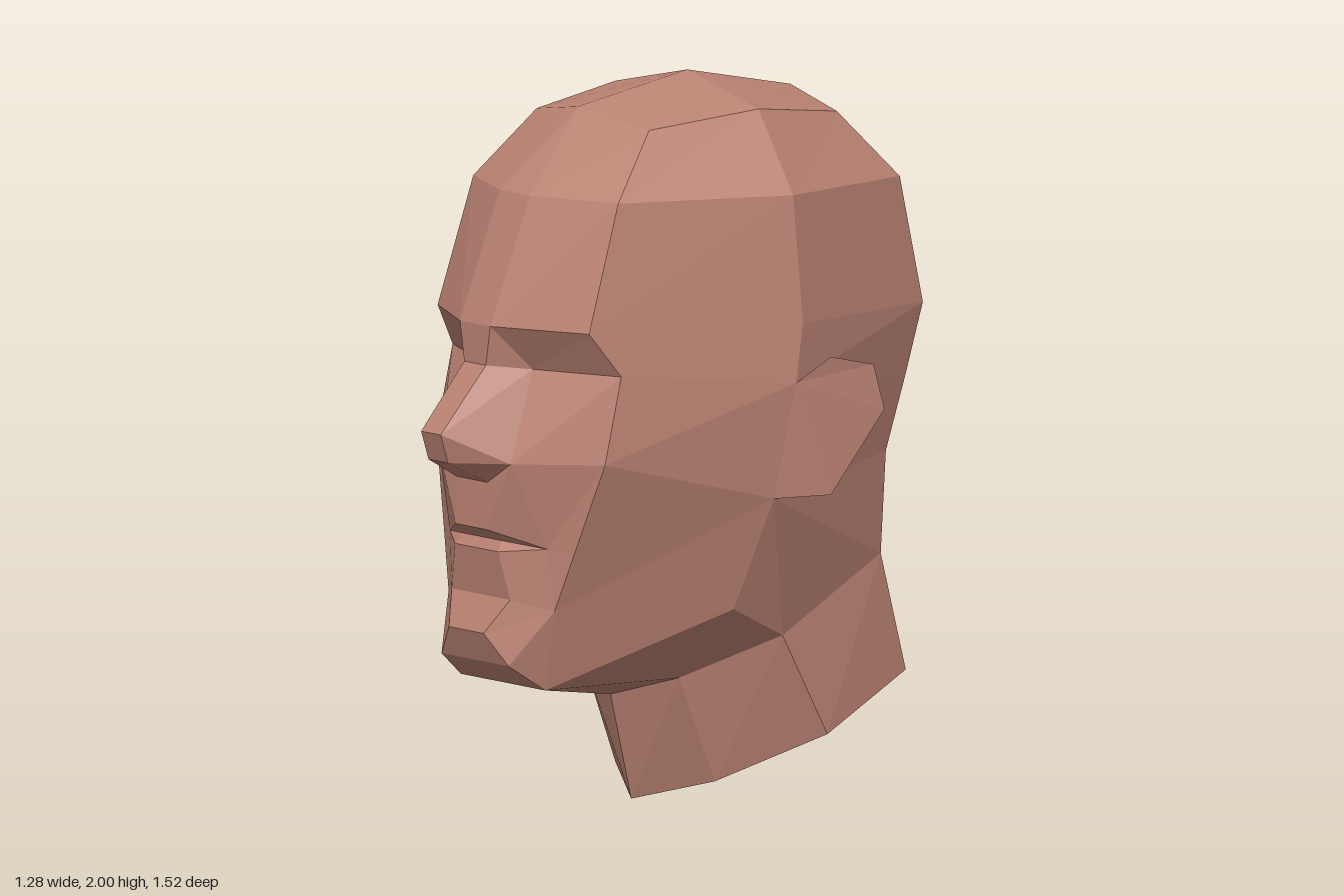
import * as THREE from 'three';

const skin = new THREE.MeshStandardMaterial({ color: 0xba8272, flatShading: true });
skin.name = 'skin';

// Skins a grid of points (rows run down, columns run from the centre line round to
// the model's left) and mirrors it in x. flip swaps the diagonal of each quad.
function loft(name, rows, flip = false) {
  const out = [];
  const tri = (...p) => {
    const [a, b, c] = p.map(q => new THREE.Vector3(...q));
    const area = b.clone().sub(a).cross(c.clone().sub(a)).length();
    if (area < 1e-6) return;
    out.push(...p.flat());
    for (const q of [p[0], p[2], p[1]]) out.push(-q[0], q[1], q[2]);
  };
  for (let r = 0; r < rows.length - 1; r++) {
    for (let c = 0; c < rows[r].length - 1; c++) {
      const a = rows[r][c], b = rows[r][c + 1];
      const d = rows[r + 1][c], e = rows[r + 1][c + 1];
      if (flip) { tri(a, d, e); tri(a, e, b); }
      else { tri(a, d, b); tri(b, d, e); }
    }
  }
  const geo = new THREE.BufferGeometry();
  geo.setAttribute('position', new THREE.Float32BufferAttribute(out, 3));
  geo.computeVertexNormals();
  const mesh = new THREE.Mesh(geo, skin);
  mesh.name = name;
  return mesh;
}

// The same point on the centre line
const mid = p => [0, p[1], p[2]];

export function createModel() {
  const head = new THREE.Group();
  head.name = 'head';

  // Landmarks shared between parts
  const browIn = [0.07, 1.36, 0.61], browOut = [0.35, 1.36, 0.48];
  const eyeIn = [0.13, 1.24, 0.51], eyeOut = [0.39, 1.24, 0.40];
  const wing = [0.165, 0.99, 0.61], cheek = [0.39, 1.0, 0.455];
  const noseBase = [0.07, 0.93, 0.62];
  const jawFront = [0.245, 0.585, 0.52], jawAngle = [0.42, 0.57, 0.04];
  const chinUnder = [0.195, 0.36, 0.515];
  const earTop = [0.545, 1.2, -0.08], earLow = [0.51, 0.88, -0.03];
  const side = [0.535, 1.36, -0.11];
  const back = [0.395, 1.36, -0.62], backMid = [0, 1.36, -0.76];
  const nape = [0.367, 0.955, -0.515], napeMid = [0, 0.96, -0.64];
  const neckBack = [0.35, 0.67, -0.51], neckBackMid = [0, 0.69, -0.63];
  const neckSide = [0.40, 0.48, -0.14], neckFront = [0.22, 0.36, 0.08];
  const throat = [0, 0.295, 0.15];

  // Cranium: crown, upper ring, temple ring, brow ring
  head.add(loft('cranium', [
    Array(6).fill([0, 2, -0.11]),
    [[0, 1.93, 0.26], [0, 1.93, 0.26], [0.26, 1.89, 0.21], [0.33, 1.93, -0.11], [0.27, 1.89, -0.42], [0, 1.93, -0.46]],
    [[0, 1.71, 0.475], [0.07, 1.71, 0.475], [0.335, 1.71, 0.37], [0.49, 1.71, -0.11], [0.37, 1.71, -0.56], [0, 1.71, -0.69]],
    [mid(browIn), browIn, browOut, side, back, backMid],
  ]));

  // Sides and back of the skull below the brow
  head.add(loft('skullSides', [
    [browOut, side, back, backMid],
    [eyeOut, earTop, [0.382, 1.16, -0.57], [0, 1.16, -0.70]],
    [cheek, earLow, nape, napeMid],
  ]));
  head.add(loft('jawSides', [[cheek, earLow], [jawFront, jawAngle], [chinUnder, jawAngle]]));
  head.add(loft('nape', [
    [earLow, earLow, nape, napeMid],
    [jawAngle, neckSide, neckBack, neckBackMid],
  ], true));

  // Brow underside, then the eye and cheek plane
  head.add(loft('eyeSockets', [[browIn, browOut], [eyeIn, eyeOut], [wing, cheek]]));

  // Nose: bridge, tip, underside
  const bridge = [0.05, 1.25, 0.61], tip = [0.045, 1.07, 0.76], tipUnder = [0.045, 0.99, 0.735];
  head.add(loft('nose', [
    [mid(browIn), browIn, browIn],
    [mid(bridge), bridge, eyeIn],
    [mid(tip), tip, wing],
    [mid(tipUnder), tipUnder, wing],
    [mid(noseBase), noseBase, wing],
  ]));

  // Muzzle, lips and chin
  const mouth = [0.225, 0.755, 0.53], lowCheek = [0.304, 0.755, 0.493];
  const muzzle = (p, b, c) => [mid(p), p, b, c];
  head.add(loft('mouthAndChin', [
    muzzle(noseBase, wing, cheek),
    muzzle([0.07, 0.80, 0.625], mouth, lowCheek),
    muzzle([0.09, 0.768, 0.585], mouth, lowCheek),
    muzzle([0.10, 0.74, 0.605], mouth, lowCheek),
    muzzle([0.135, 0.61, 0.59], jawFront, jawFront),
    muzzle([0.08, 0.515, 0.64], jawFront, jawFront),
    muzzle([0.155, 0.43, 0.61], jawFront, jawFront),
    muzzle(chinUnder, chinUnder, chinUnder),
  ]));

  // Underside of the jaw
  head.add(loft('jawUnderside', [
    [mid(chinUnder), chinUnder, jawAngle],
    [throat, neckFront, neckSide],
  ]));

  // Neck with its slanted base
  head.add(loft('neck', [
    [throat, neckFront, neckSide, neckBack, neckBackMid],
    [[0, 0, 0.08], [0.23, 0.065, -0.035], [0.41, 0.195, -0.285], [0.35, 0.34, -0.595], [0, 0.385, -0.70]],
    Array(5).fill([0, 0.2, -0.3]),
  ]));

  // Ears: back of the root, outer rim, front of the root
  const rootTop = [0.49, 1.2, -0.25], rootLow = [0.47, 0.95, -0.19];
  head.add(loft('ears', [
    [rootTop, rootTop, rootTop, rootTop, rootLow, rootLow],
    [earTop, [0.59, 1.27, -0.165], [0.63, 1.245, -0.28], [0.64, 1.12, -0.31], [0.57, 0.885, -0.18], earLow],
    [earTop, earTop, earTop, earTop, earLow, earLow],
  ]));

  return head;
}
